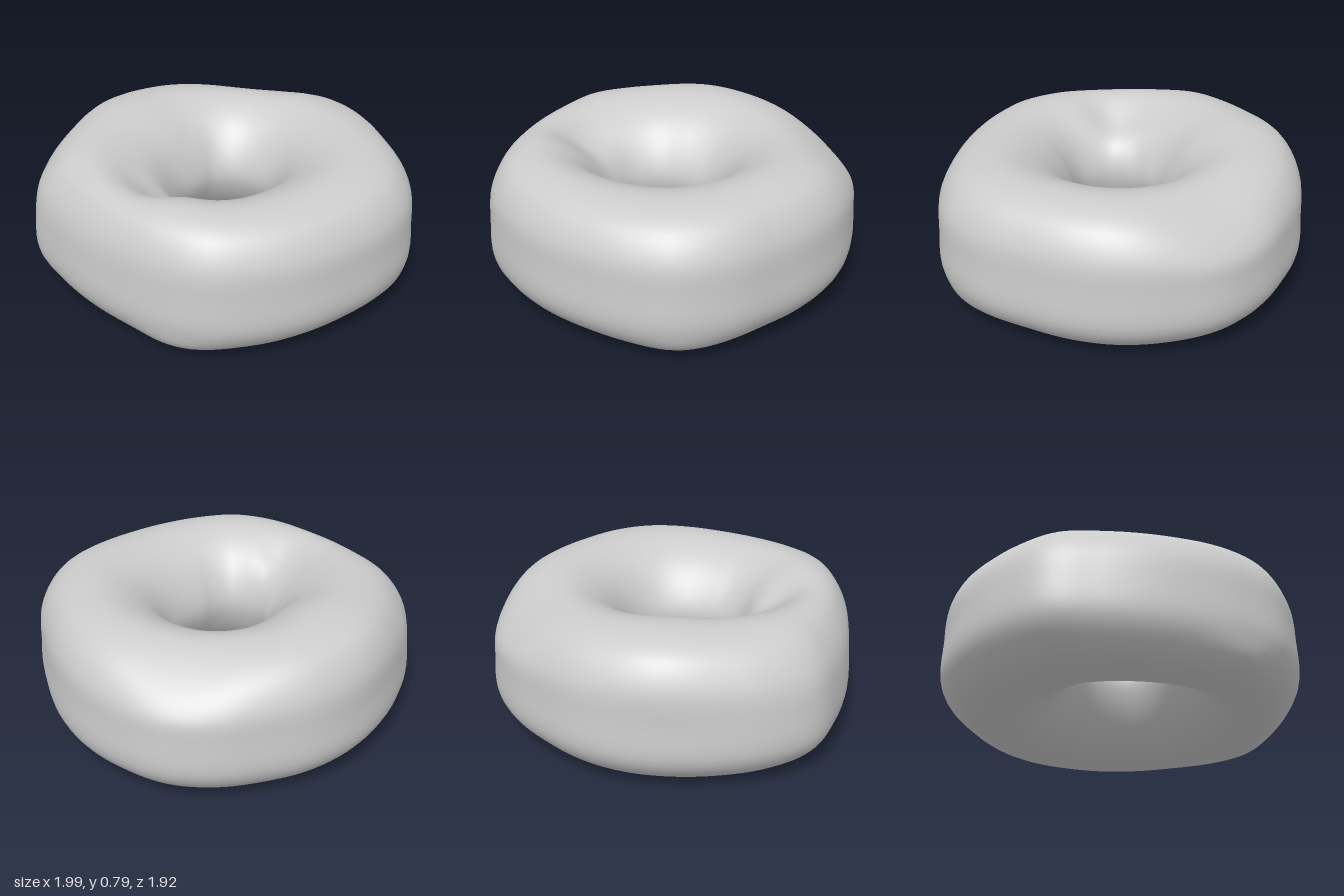
import * as THREE from 'three';

// radii every 15 degrees, starting at +x and turning towards +z
const OUTER = [0.985, 1.02, 1.035, 1.0, 0.965, 0.955, 0.957, 0.965, 0.935, 0.91, 0.915, 0.945,
  1.0, 0.985, 0.96, 0.952, 0.957, 0.962, 0.963, 0.99, 1.01, 1.0, 0.995, 0.985];
const HOLE = [0.283, 0.275, 0.267, 0.265, 0.268, 0.28, 0.31, 0.331, 0.325, 0.31, 0.285, 0.266,
  0.24, 0.224, 0.212, 0.203, 0.203, 0.215, 0.24, 0.253, 0.26, 0.267, 0.275, 0.282];

// cross-section: x runs from the hole (0) to the outer wall (1), y is height
const SECTION = [[0, 0.39], [0.06, 0.25], [0.23, 0.1], [0.5, 0.005], [0.81, 0.045], [0.985, 0.19],
  [0.99, 0.4], [0.965, 0.57], [0.83, 0.715], [0.53, 0.77], [0.23, 0.68], [0.06, 0.53]];

const { smoothstep } = THREE.MathUtils;

// smooth periodic lookup in a ring of values
function ringValue(values, turn) {
  const n = values.length, f = turn * n, i = Math.floor(f), t = f - i;
  const [a, b, c, d] = [-1, 0, 1, 2].map((k) => values[(i + k + n) % n]);
  return b + 0.5 * t * (c - a + t * (2 * a - 5 * b + 4 * c - d + t * (3 * (b - c) + d - a)));
}

// soft bump around a given angle in degrees, with its own width on each side
function bump(deg, centre, before, after = before) {
  const d = ((deg - centre + 540) % 360) - 180;
  return Math.exp(-((d / (d < 0 ? before : after)) ** 2));
}

function createRing(segments = 144, sides = 60) {
  const curve = new THREE.CatmullRomCurve3(
    SECTION.map(([t, y]) => new THREE.Vector3(t, y, 0)), true, 'centripetal');
  const section = curve.getPoints(sides).slice(0, sides);
  const positions = [], indices = [];

  for (let i = 0; i < segments; i++) {
    const turn = i / segments, angle = turn * Math.PI * 2, deg = turn * 360;
    const inner = ringValue(HOLE, turn), outer = ringValue(OUTER, turn);
    for (let j = 0; j < sides; j++) {
      const { x: t, y } = section[j];
      const top = smoothstep(y, 0.35, 0.75), rim = smoothstep(t, 0.35, 0.9);
      // wide valley out of the hole, dented back shoulder, lower front, humped back corner
      const lift = top * (-0.09 * bump(deg, 143, 17, 28) * Math.exp(-(((t - 0.32) / 0.3) ** 2))
        - 0.09 * bump(deg, 296, 24, 22) * rim
        - 0.02 * bump(deg, 75, 45)
        + 0.018 * bump(deg, 228, 22));
      // right wall leans inwards, two foot corners flare, back corner is fuller
      const lean = rim * (-0.035 * top * bump(deg, 175, 45)
        + 0.02 * top * bump(deg, 228, 16)
        + 0.03 * smoothstep(-y, -0.2, -0.06) * (bump(deg, 116, 12) + bump(deg, 28, 14)));
      const r = inner + (outer - inner) * t + lean;
      positions.push(r * Math.cos(angle), Math.max(y + lift, 0), r * Math.sin(angle));

      const i2 = (i + 1) % segments, j2 = (j + 1) % sides;
      const a = i * sides + j, b = i * sides + j2, c = i2 * sides + j2, d = i2 * sides + j;
      indices.push(a, b, c, a, c, d);
    }
  }
  const geometry = new THREE.BufferGeometry();
  geometry.setAttribute('position', new THREE.Float32BufferAttribute(positions, 3));
  geometry.setIndex(indices);
  geometry.computeVertexNormals();
  return geometry;
}

export function createModel() {
  const group = new THREE.Group();
  group.name = 'doughnut';
  const ring = new THREE.Mesh(createRing(), new THREE.MeshStandardMaterial({ color: 0xcccccc }));
  ring.name = 'doughRing';
  group.add(ring);
  // centre on x and z, rest on the ground
  const box = new THREE.Box3().setFromObject(ring);
  const centre = box.getCenter(new THREE.Vector3());
  ring.position.set(-centre.x, -box.min.y, -centre.z);
  return group;
}
